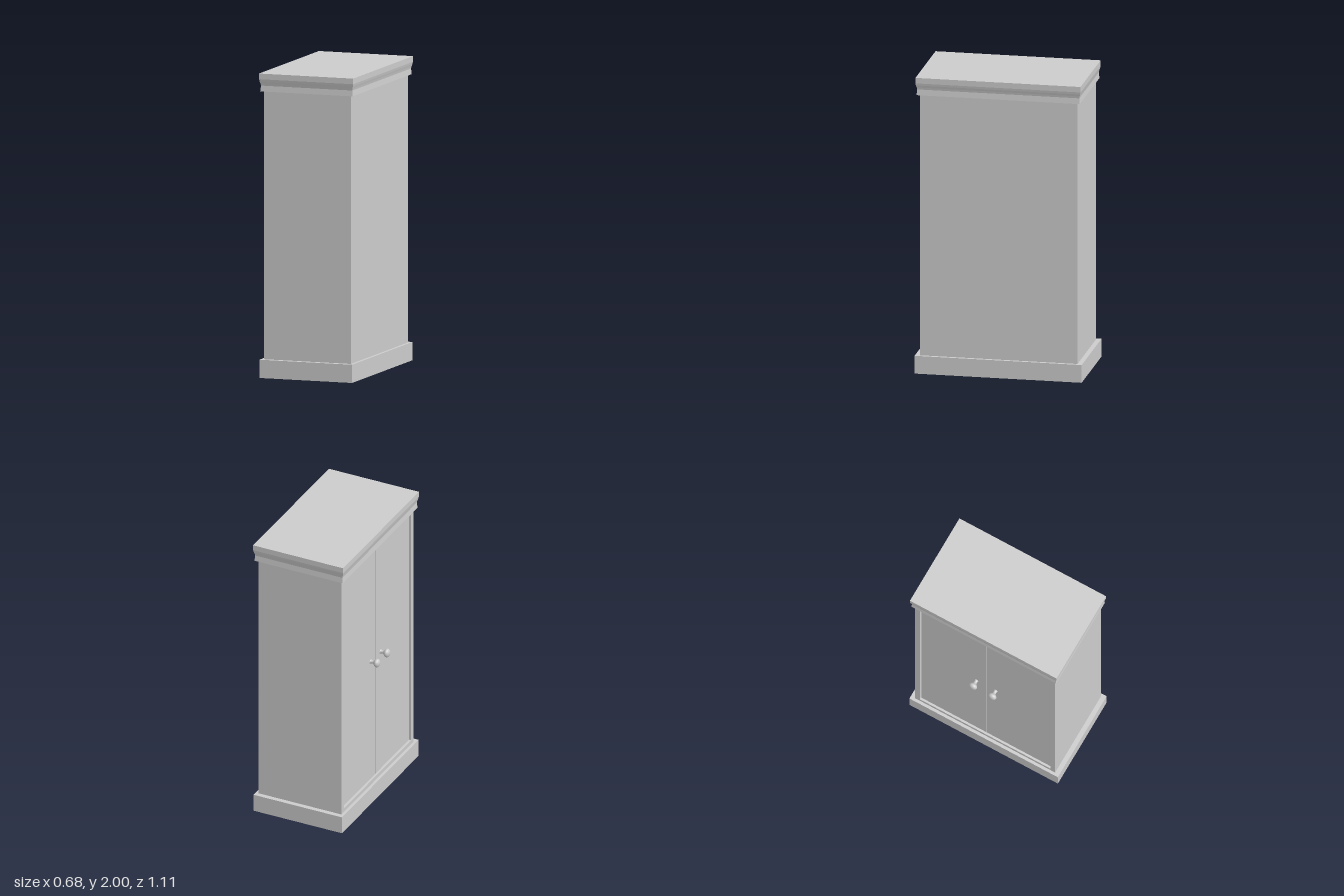
import * as THREE from 'three';

const grey = new THREE.MeshStandardMaterial({ color: 0xcccccc });
const CX = 0.0125; // centre of the cabinet across x; the doors face -x

function add(parent, name, geometry, x, y, z) {
  const mesh = new THREE.Mesh(geometry, grey);
  mesh.name = name;
  mesh.position.set(x, y, z);
  parent.add(mesh);
  return mesh;
}

// Rectangular moulding: each level is [overhang beyond the body, height]
function moulding(width, depth, levels) {
  const n = levels.length - 1;
  const geo = new THREE.BoxGeometry(1, 1, 1, 1, n, 1).toNonIndexed();
  const p = geo.attributes.position;
  for (let i = 0; i < p.count; i++) {
    const [out, y] = levels[Math.round((p.getY(i) + 0.5) * n)];
    p.setXYZ(i, p.getX(i) * (width + 2 * out), y, p.getZ(i) * (depth + 2 * out));
  }
  geo.computeVertexNormals();
  return geo;
}

export function createModel() {
  const model = new THREE.Group();
  model.name = 'cabinet';
  const W = 0.605, D = 1.046, LOW = 0.12, HIGH = 1.885;

  // Plinth and carcass
  add(model, 'plinth', new THREE.BoxGeometry(0.645, LOW, 1.11), CX, LOW / 2, 0);
  add(model, 'carcass', new THREE.BoxGeometry(W - 0.025, HIGH - LOW, D), CX + 0.0125, (LOW + HIGH) / 2, 0);

  // Crown moulding with a coved underside
  const levels = [[0.019, 1.882], [0.015, 1.92], [0.018, 1.934], [0.022, 1.948], [0.025, 1.963], [0.025, 2]];
  add(model, 'crown', moulding(W, D, levels), CX, 0, 0);

  // Face frame around the door opening
  const frame = new THREE.Shape([[-D / 2, LOW], [D / 2, LOW], [D / 2, HIGH], [-D / 2, HIGH]].map(q => new THREE.Vector2(...q)));
  const s = D / 2 - 0.035, lo = 0.147, hi = 1.852;
  frame.holes.push(new THREE.Path([[-s, lo], [-s, hi], [s, hi], [s, lo]].map(q => new THREE.Vector2(...q))));
  const frameGeo = new THREE.ExtrudeGeometry(frame, { depth: 0.025, bevelEnabled: false });
  frameGeo.rotateY(-Math.PI / 2);
  add(model, 'faceFrame', frameGeo, -0.265, 0, 0);

  // Turned knob profile, from the door outwards
  const knobProfile = [
    [0.016, 0], [0.013, 0.004], [0.011, 0.012], [0.011, 0.022], [0.015, 0.029], [0.023, 0.035],
    [0.028, 0.042], [0.029, 0.048], [0.027, 0.056], [0.021, 0.062], [0.011, 0.066], [0, 0.067],
  ].map(q => new THREE.Vector2(...q));
  const knobGeo = new THREE.LatheGeometry(knobProfile, 24);
  knobGeo.rotateZ(Math.PI / 2);

  // Pair of recessed doors with knobs beside the meeting edge
  for (const side of [-1, 1]) {
    const door = new THREE.Group();
    door.name = side > 0 ? 'frontDoor' : 'rearDoor';
    const width = s - 0.005;
    add(door, 'doorPanel', new THREE.BoxGeometry(0.02, hi - lo - 0.006, width), -0.266, (lo + hi) / 2, side * (0.002 + width / 2));
    add(door, 'knob', knobGeo, -0.275, 1.035, side * 0.072);
    model.add(door);
  }
  return model;
}
